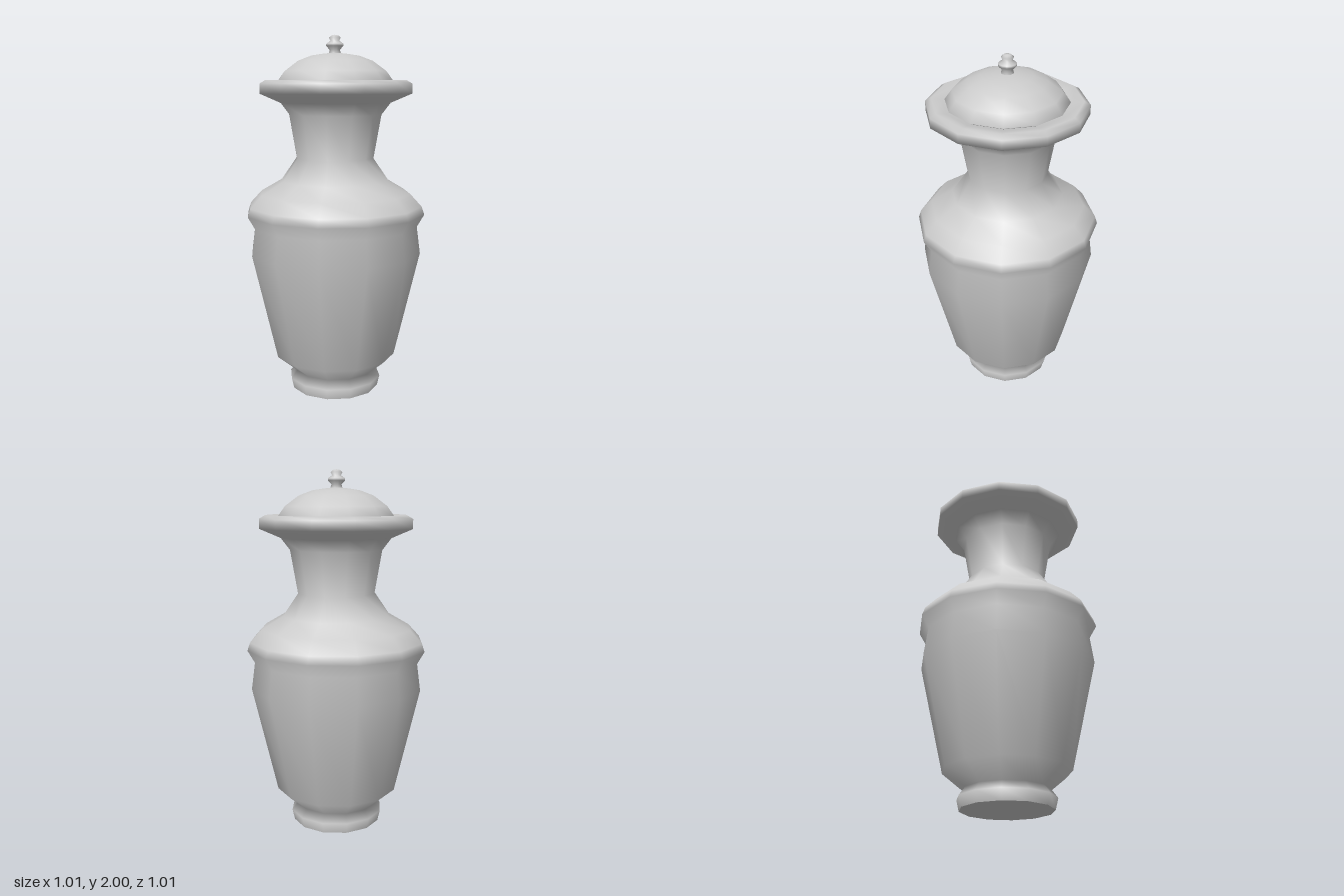
import * as THREE from 'three';

const SIDES = 12;
const material = new THREE.MeshStandardMaterial({ color: 0xcccccc, side: THREE.DoubleSide });

// Turned part from [radius, height] pairs, listed from the bottom up
function turned(name, profile) {
  const points = profile.map(([r, y]) => new THREE.Vector2(r, y));
  const mesh = new THREE.Mesh(new THREE.LatheGeometry(points, SIDES), material);
  mesh.name = name;
  return mesh;
}

export function createModel() {
  const urn = new THREE.Group();
  urn.name = 'liddedUrn';

  // Underside of the foot
  urn.add(turned('base', [[0, 0], [0.25, 0]]));

  // Foot, tapered belly, shoulder, neck and flared rim in one wall
  urn.add(turned('body', [
    [0.25, 0], [0.264, 0.06], [0.23, 0.105],            // foot
    [0.345, 0.2], [0.485, 0.8], [0.465, 0.95],          // belly
    [0.505, 1.02], [0.49, 1.065], [0.425, 1.135],       // shoulder
    [0.305, 1.205], [0.218, 1.33], [0.26, 1.57],        // neck
    [0.31, 1.635], [0.427, 1.685], [0.427, 1.738],      // rim
    [0.395, 1.757], [0.34, 1.745], [0.3, 1.735],
  ]));

  // Domed lid resting inside the rim
  const lid = new THREE.Group();
  lid.name = 'lid';
  lid.add(turned('dome', [
    [0.3, 1.735], [0.325, 1.75], [0.285, 1.805], [0.21, 1.86],
    [0.135, 1.888], [0.07, 1.898], [0.025, 1.903], [0, 1.903],
  ]));
  lid.add(turned('knob', [
    [0.036, 1.895], [0.028, 1.92], [0.048, 1.94], [0.048, 1.952],
    [0.025, 1.968], [0.033, 1.985], [0.02, 1.996], [0, 2],
  ]));
  urn.add(lid);

  return urn;
}
